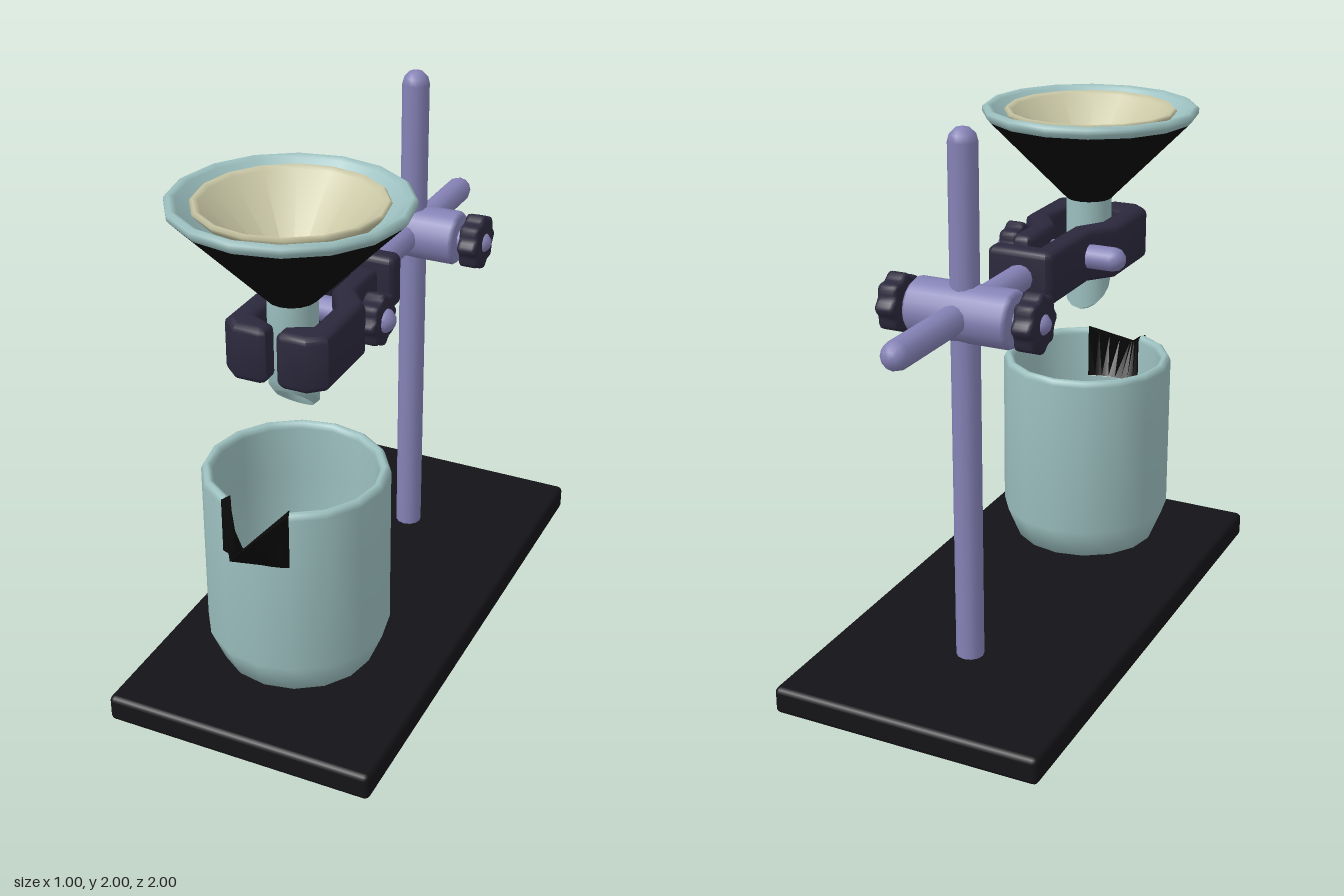
import * as THREE from 'three';
import { toCreasedNormals } from 'three/addons/utils/BufferGeometryUtils.js';
import { RoundedBoxGeometry } from 'three/addons/geometries/RoundedBoxGeometry.js';

const mat = (color, side = THREE.FrontSide) => new THREE.MeshStandardMaterial({ color, side });
const SIDES = 16;
const AXIS_Z = 0.5;   // funnel and beaker axis
const ARM_Y = 1.38;   // height of the clamp arm

export function createModel() {
  const model = new THREE.Group();
  model.name = 'filtrationStand';
  const black = mat(0x141418), dark = mat(0x2b283c), metal = mat(0x8582b6);
  const glass = mat(0x9cbfbf), paper = mat(0xc8c6a4);
  const shade = mat(0x090909), shadeBoth = mat(0x090909, THREE.DoubleSide);

  const add = (name, geo, material, x = 0, y = 0, z = 0, parent = model) => {
    const m = new THREE.Mesh(geo, material);
    m.name = name;
    m.position.set(x, y, z);
    parent.add(m);
    return m;
  };
  const lathe = (pts, start = 0, length = Math.PI * 2, segs = SIDES) =>
    new THREE.LatheGeometry(pts.map(p => new THREE.Vector2(...p)), segs, start, length);
  const extrude = (shape, depth, bevel) => toCreasedNormals(new THREE.ExtrudeGeometry(shape, {
    depth: depth - 2 * bevel, bevelThickness: bevel, bevelSize: bevel,
    bevelOffset: -bevel, bevelSegments: 3,
  }).translate(0, 0, bevel - depth / 2), 0.8);

  // Stand: plate, upright and horizontal arm with rounded ends
  add('base', new RoundedBoxGeometry(1, 0.1, 2, 2, 0.02), black, 0, 0.05, 0);
  const rod = (r, length) => new THREE.CapsuleGeometry(r, length - 2 * r, 3, 12);
  add('upright', rod(0.05, 1.95), metal, 0, 1.025, -0.5);
  add('arm', rod(0.05, 0.95).rotateX(Math.PI / 2), metal, 0, ARM_Y, -0.525);

  // Cross block joining the two rods
  add('crossBlock', lathe([
    [0, -0.19], [0.085, -0.19], [0.1, -0.175], [0.1, 0.175], [0.085, 0.19], [0, 0.19],
  ]).rotateZ(Math.PI / 2), metal, 0, ARM_Y, -0.5);

  // Fluted hand knob, turning about x
  const knobGeo = (r, width) => {
    const pts = [];
    for (let i = 0; i < 48; i++) {
      const a = i / 48 * Math.PI * 2;
      const rr = r * (0.93 + 0.07 * Math.cos(a * 8));
      pts.push(new THREE.Vector2(rr * Math.cos(a), rr * Math.sin(a)));
    }
    return extrude(new THREE.Shape(pts), width, 0.015).rotateY(Math.PI / 2);
  };
  add('blockScrew', rod(0.04, 0.62).rotateZ(Math.PI / 2), metal, 0, ARM_Y, -0.5);
  for (const s of [-1, 1]) add('blockKnob', knobGeo(0.105, 0.075), dark, s * 0.25, ARM_Y, -0.5);

  // Clamp jaws: hooked outlines seen from above, as x, z
  const hook = [
    [-0.035, 0.28], [-0.1, 0.38], [-0.1, 0.56], [-0.02, 0.6], [-0.02, 0.655], [-0.04, 0.67],
    [-0.13, 0.67], [-0.185, 0.62], [-0.185, 0.34], [-0.115, 0.25],
  ];
  const fixedJaw = [
    [-0.095, -0.09], [0.115, -0.09], [0.13, -0.075], [0.13, -0.025], [0.115, -0.01],
    [-0.035, -0.01], ...hook, [-0.115, -0.07],
  ];
  const movingJaw = [[-0.05, 0.07], [-0.035, 0.09], ...hook, [-0.115, 0.09], [-0.1, 0.07]];
  const jaw = (pts, s) => extrude(
    new THREE.Shape(pts.map(([x, z]) => new THREE.Vector2(s * x, -z))), 0.2, 0.025,
  ).rotateX(-Math.PI / 2);
  add('fixedJaw', jaw(fixedJaw, 1), dark, 0, ARM_Y, 0);
  add('movingJaw', jaw(movingJaw, -1), dark, 0, ARM_Y, 0);
  add('clampScrew', rod(0.045, 0.51).rotateZ(Math.PI / 2), metal, 0, ARM_Y, 0.25);
  add('clampKnob', knobGeo(0.095, 0.075), dark, 0.183, ARM_Y, 0.25);

  // Funnel: dark cone, pale rim and lining, slanted stem
  const funnel = new THREE.Group();
  funnel.name = 'funnel';
  funnel.position.z = AXIS_Z;
  model.add(funnel);
  add('funnelCone', lathe([[0.085, 1.53], [0.385, 1.835]]), shade, 0, 0, 0, funnel);
  add('funnelRim', lathe([
    [0.385, 1.835], [0.4, 1.852], [0.4, 1.87], [0.385, 1.88], [0.365, 1.87],
    [0.335, 1.83], [0.05, 1.54],
  ]), glass, 0, 0, 0, funnel);
  const stem = lathe([
    [0.085, 1.2], [0.085, 1.53], [0.05, 1.54], [0.05, 1.2], [0.065, 1.175], [0.085, 1.2],
  ]);
  const p = stem.attributes.position;
  for (let i = 0; i < p.count; i++) {
    if (p.getY(i) < 1.3) p.setY(i, p.getY(i) - 0.015 + p.getZ(i) * 0.85); // slanted tip
  }
  add('funnelStem', toCreasedNormals(stem, 0.7), glass, 0, 0, 0, funnel);

  // Filter paper cone
  add('filterPaper', lathe([
    [0, 1.53], [0.31, 1.845], [0.32, 1.86], [0.31, 1.87], [0.29, 1.86], [0, 1.56],
  ]), paper, 0, 0, 0, funnel);

  // Beaker: full cup below, wall with a gap for the spout above
  const beaker = new THREE.Group();
  beaker.name = 'beaker';
  beaker.position.z = AXIS_Z;
  model.add(beaker);
  const R = 0.325, RI = 0.285, SPLIT = 0.7, GAP = Math.PI / 8;
  add('beakerCup', lathe([[0, 0.1], [0.14, 0.105], [0.275, 0.16], [R, 0.28], [R, SPLIT]]),
    glass, 0, 0, 0, beaker);
  add('beakerInside', lathe([[RI, SPLIT], [RI, 0.29], [0.24, 0.19], [0.13, 0.145], [0, 0.14]]),
    glass, 0, 0, 0, beaker);
  add('beakerWall', lathe([
    [R, SPLIT], [R, 0.88], [R - 0.008, 0.897], [R - 0.02, 0.903], [RI + 0.008, 0.897],
    [RI, 0.88], [RI, SPLIT],
  ], GAP, Math.PI * 2 - 2 * GAP, SIDES - 2), glass, 0, 0, 0, beaker);

  // Spout: ring sections swept from one side of the gap to the other
  const pos = [], idx = [], N = 8;
  for (let i = 0; i <= N; i++) {
    const t = i / N * 2 - 1, k = Math.abs(t);
    const arc = (r, y) => [r * Math.sin(GAP * t), y, r * Math.cos(GAP * t)];
    const lip = (r, tip) => [
      r * Math.sin(GAP) * t, 0.8 + 0.1 * k,
      THREE.MathUtils.lerp(tip, r * Math.cos(GAP), k),
    ];
    pos.push(...arc(R, SPLIT), ...lip(R, 0.475), ...lip(RI, 0.44), ...arc(RI, SPLIT));
    if (i === N) break;
    for (let j = 0; j < 4; j++) {
      const a = i * 4 + j, b = i * 4 + (j + 1) % 4;
      idx.push(a, a + 4, b, b, a + 4, b + 4);
    }
  }
  const spout = new THREE.BufferGeometry();
  spout.setAttribute('position', new THREE.Float32BufferAttribute(pos, 3));
  spout.setIndex(idx);
  add('beakerSpout', toCreasedNormals(spout, 0.6), shadeBoth, 0, 0, 0, beaker);

  return model;
}
